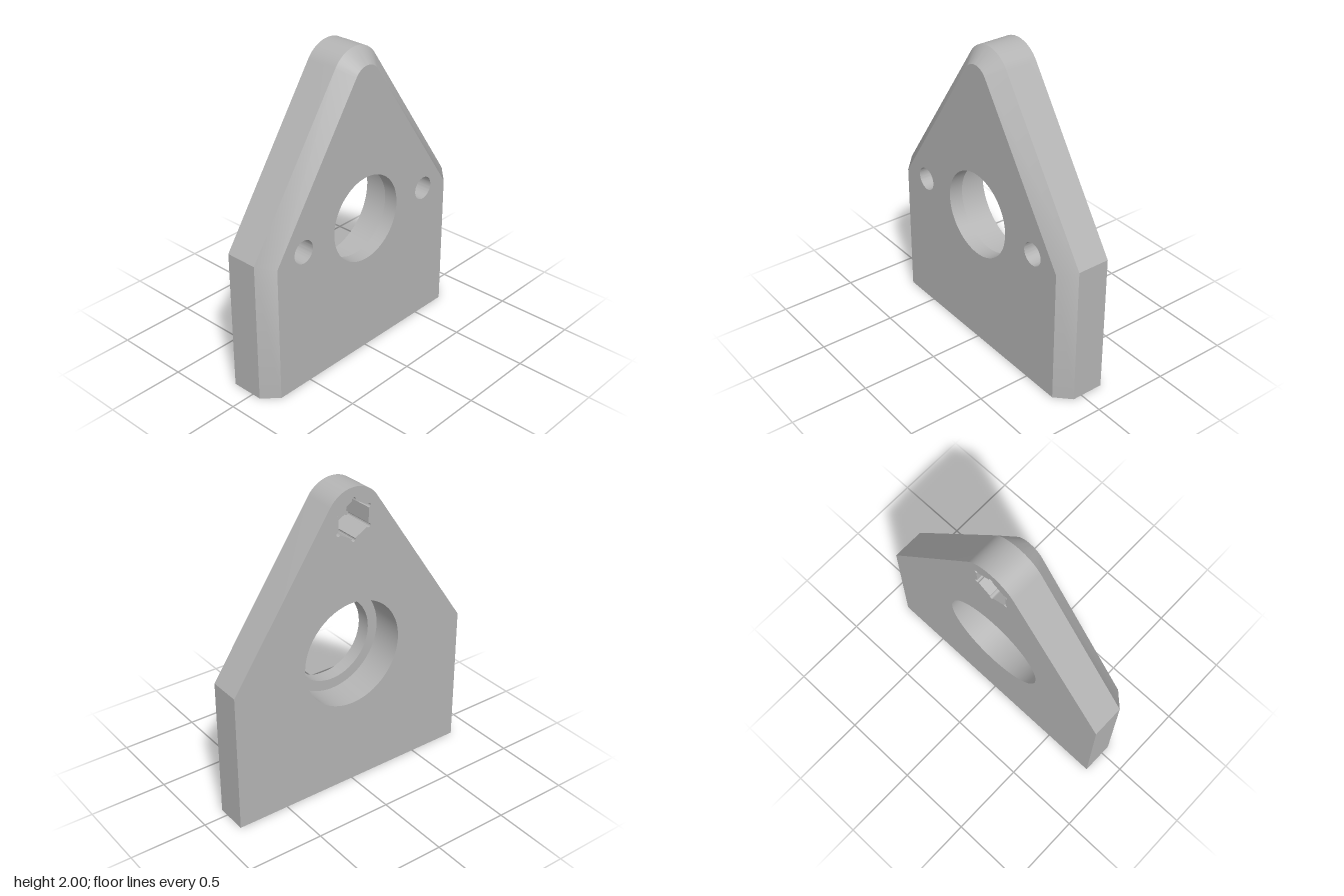
import * as THREE from 'three';
import { toCreasedNormals } from 'three/addons/utils/BufferGeometryUtils.js';

const HALF = 0.152;   // half the plate thickness
const STEP = 0.06;    // where the bevel starts
const BEVEL = 0.092;
const APEX = 1.8;     // centre of the rounded top

const V = (x, y) => new THREE.Vector2(x, y);

// Counter-clockwise loops of 2D points
function arc(cx, cy, r, a0, a1, n) {
  return Array.from({ length: n + 1 }, (_, i) => {
    const a = a0 + (a1 - a0) * i / n;
    return V(cx + r * Math.cos(a), cy + r * Math.sin(a));
  });
}
const circle = (cx, cy, r) => arc(cx, cy, r, 0, Math.PI * 2, 64).slice(0, -1);

// House-shaped outline, inset by d on the sides and roof
function outline(d) {
  const t = 0.597;                      // roof normal angle
  const w = 0.84 - d;
  const eave = APEX + (0.2 - d - w * Math.cos(t)) / Math.sin(t);
  return [V(w, 0), V(w, eave), ...arc(0, APEX, 0.2 - d, t, Math.PI - t, 24), V(-w, eave), V(-w, 0)];
}

// Point-up hexagon with small relief cuts in its corners
function hexagon(cy, r) {
  const pts = [];
  for (let i = 0; i < 6; i++) {
    const a = Math.PI / 2 + i * Math.PI / 3, k = Math.PI * 2 / 3;
    pts.push(...arc(r * Math.cos(a), cy + r * Math.sin(a), 0.014, a - k, a + k, 8));
  }
  return pts;
}

function face(loop, z, holes = []) {
  const s = new THREE.Shape(loop);
  s.holes = holes.map(h => new THREE.Path(h));
  return new THREE.ShapeGeometry(s).translate(0, 0, z);
}

// Strip between two matching loops, a at height za above b at height zb
function wall(a, za, b, zb, closed = true) {
  const p = [];
  const n = a.length;
  for (let i = 0; i < (closed ? n : n - 1); i++) {
    const j = (i + 1) % n;
    const A = [a[i].x, a[i].y, za], A2 = [a[j].x, a[j].y, za];
    const B = [b[i].x, b[i].y, zb], B2 = [b[j].x, b[j].y, zb];
    p.push(...B, ...B2, ...A2, ...B, ...A2, ...A);
  }
  const g = new THREE.BufferGeometry();
  g.setAttribute('position', new THREE.Float32BufferAttribute(p, 3));
  g.computeVertexNormals();
  return toCreasedNormals(g, 0.5);
}

export function createModel() {
  const grey = new THREE.MeshStandardMaterial({ color: 0xb4b4b4 });
  grey.name = 'grey metal';
  const model = new THREE.Group();
  model.name = 'mountingPlate';

  const plate = new THREE.Group();      // drawn flat, then turned to face +x
  plate.name = 'plate';
  plate.rotation.y = Math.PI / 2;
  model.add(plate);

  const add = (name, geometry, parent = plate) => {
    const m = new THREE.Mesh(geometry, grey);
    m.name = name;
    parent.add(m);
  };
  // Hole sunk from height z, with an optional opening in its floor
  const sink = (name, loop, z, depth, parent, floorHoles = []) => {
    const inner = [...loop].reverse();
    add(name + 'Wall', wall(inner, z, inner, z - depth), parent);
    add(name + 'Floor', face(loop, z - depth, floorHoles), parent);
  };

  const outer = outline(0), inset = outline(BEVEL);
  const bore = circle(0, 0.92, 0.28);
  const counterbore = circle(0, 0.92, 0.35);
  const nutPocket = hexagon(APEX, 0.124);
  const pins = [-1, 1].map(s => circle(s * 0.535, 0.92, 0.075));
  const feet = [-1, 1].map(s => circle(s * 0.68, 0, 0.072));

  // Outer rim and bevel
  add('rim', wall(outer, STEP, outer, -HALF, false));
  add('bevel', wall(inset, HALF, outer, STEP, false));

  // Bevelled side: main bore and two blind pin holes
  add('bevelledFace', face(inset, HALF, [bore, ...pins]));
  const boreLoop = [...bore].reverse();
  add('boreWall', wall(boreLoop, HALF, boreLoop, STEP));
  pins.forEach(p => sink('pinHole', p, HALF, 0.2, plate));

  // Plain side: counterbore and hexagonal pocket
  const back = new THREE.Group();
  back.name = 'plainSide';
  back.rotation.y = Math.PI;
  plate.add(back);
  add('plainFace', face(outer, HALF, [counterbore, nutPocket]), back);
  sink('counterbore', counterbore, HALF, HALF + STEP, back, [bore]);
  sink('nutPocket', nutPocket, HALF, HALF + STEP, back);

  // Underside with two mounting holes
  const base = new THREE.Group();
  base.name = 'underside';
  base.rotation.x = Math.PI / 2;
  plate.add(base);
  const w = 0.84;
  const footprint = [V(-w, -HALF), V(w, -HALF), V(w, STEP), V(w - BEVEL, HALF), V(BEVEL - w, HALF), V(-w, STEP)];
  add('baseFace', face(footprint, 0, feet), base);
  feet.forEach(f => sink('mountingHole', f, 0, 0.4, base));

  return model;
}
